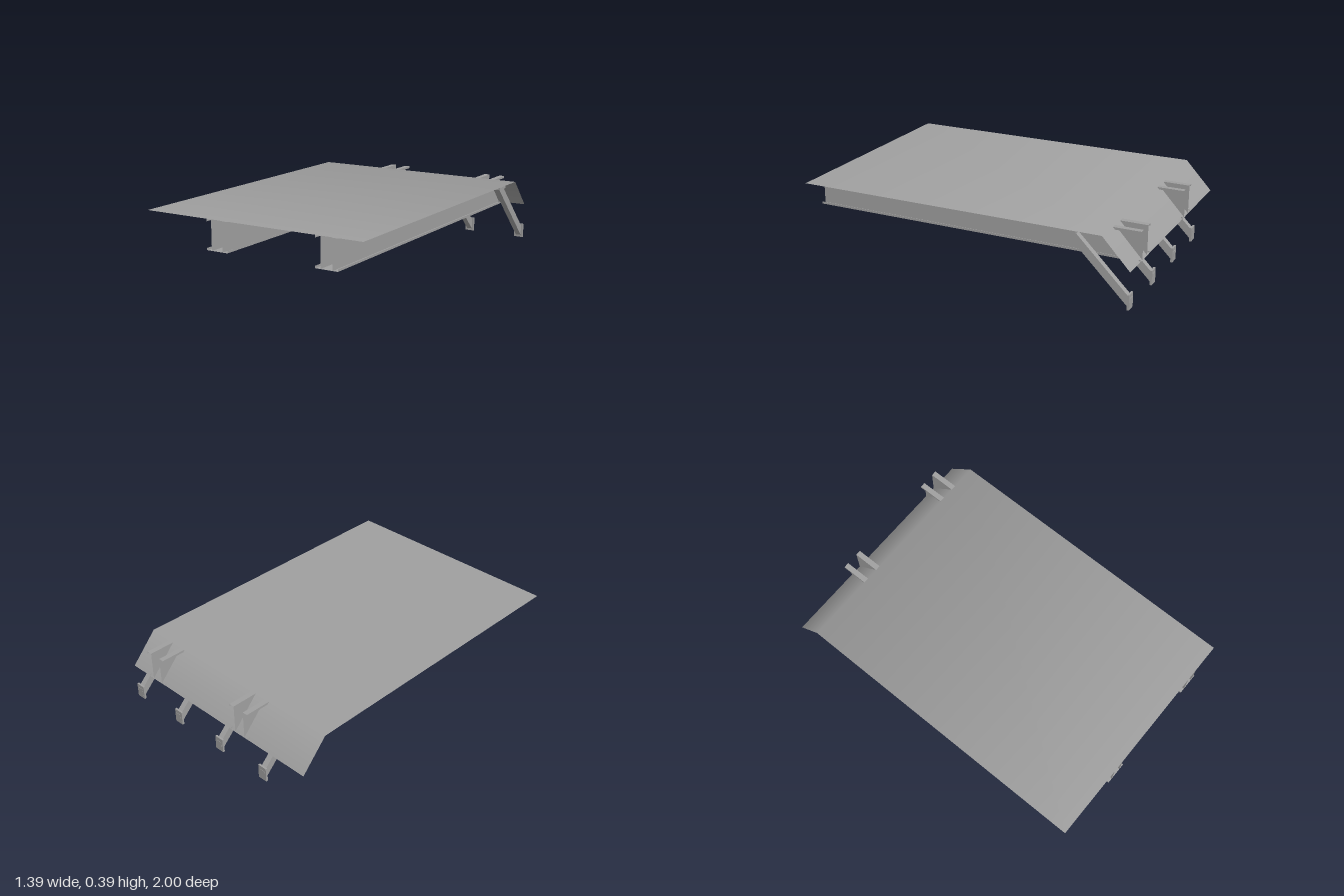
import * as THREE from 'three';

const color = 0x9f9f9f;
const flat = new THREE.MeshStandardMaterial({ color, side: THREE.DoubleSide, flatShading: true });
const smooth = new THREE.MeshStandardMaterial({ color, side: THREE.DoubleSide });

// Flat deck with its rear edge folded down, shaded smoothly across the fold
function makeDeck() {
  const half = 0.696;
  const section = [[1, 0.386], [-0.84, 0.386], [-1, 0.214]];
  // Surface normal of each strip, then the even average at each section point
  const strips = [0, 1].map((i) => {
    const [z0, y0] = section[i], [z1, y1] = section[i + 1];
    return new THREE.Vector3(0, z0 - z1, y1 - y0).normalize();
  });
  const normals = [
    strips[0], strips[0].clone().add(strips[1]).normalize(), strips[1],
  ];
  const pos = [], nor = [], index = [];
  section.forEach(([z, y], i) => {
    for (const s of [-1, 1]) {
      pos.push(s * half, y, z);
      nor.push(...normals[i].toArray());
    }
    const a = i * 2;
    if (i < 2) index.push(a, a + 1, a + 3, a, a + 3, a + 2);
  });
  const geometry = new THREE.BufferGeometry();
  geometry.setAttribute('position', new THREE.Float32BufferAttribute(pos, 3));
  geometry.setAttribute('normal', new THREE.Float32BufferAttribute(nor, 3));
  geometry.setIndex(index);
  const deck = new THREE.Mesh(geometry, smooth);
  deck.name = 'deck';
  return deck;
}

// Thin folded sheet: [x, y] section points swept along the full length
function sheet(name, points) {
  const pos = [];
  for (let i = 0; i < points.length - 1; i++) {
    const p = [...points[i], -1], q = [...points[i + 1], -1];
    const r = [...points[i + 1], 1], s = [...points[i], 1];
    pos.push(...p, ...r, ...q, ...p, ...s, ...r);
  }
  const geometry = new THREE.BufferGeometry();
  geometry.setAttribute('position', new THREE.Float32BufferAttribute(pos, 3));
  geometry.computeVertexNormals();
  const mesh = new THREE.Mesh(geometry, flat);
  mesh.name = name;
  return mesh;
}

function box(name, size, position) {
  const mesh = new THREE.Mesh(new THREE.BoxGeometry(...size), flat);
  mesh.position.set(...position);
  mesh.name = name;
  return mesh;
}

// Twin-web girder: wide bottom flange, narrow outward top flanges, small lips
function makeBeam(x) {
  const beam = new THREE.Group();
  beam.name = 'beam';
  const top = 0.384, bottom = 0.213, lip = 0.013, half = 0.068, web = 0.036;
  for (const s of [-1, 1]) {
    beam.add(sheet('webAndTopFlange', [
      [s * web, bottom], [s * web, top], [s * half, top], [s * half, top - lip],
    ]));
  }
  beam.add(sheet('bottomFlange', [
    [-half, bottom + lip], [-half, bottom], [half, bottom], [half, bottom + lip],
  ]));
  beam.position.x = x;
  return beam;
}

// Diagonal strut with a plate at each end
function makeBrace(x) {
  const brace = new THREE.Group();
  brace.name = 'brace';
  const width = 0.034;
  // Side outline, drawn with the shape's x as -z
  const side = new THREE.Shape([
    new THREE.Vector2(0.62, 0.377), new THREE.Vector2(0.988, 0.012),
    new THREE.Vector2(1, 0.012), new THREE.Vector2(1, 0.063),
    new THREE.Vector2(0.685, 0.377),
  ]);
  const geometry = new THREE.ExtrudeGeometry(side, { depth: width, bevelEnabled: false });
  geometry.rotateY(Math.PI / 2).translate(-width / 2, 0, 0);
  const strut = new THREE.Mesh(geometry, flat);
  strut.name = 'strut';
  brace.add(strut);
  brace.add(box('topPlate', [0.058, 0.014, 0.085], [0, 0.378, -0.652]));
  brace.add(box('basePlate', [0.058, 0.085, 0.012], [0, 0.0425, -0.993]));
  brace.position.x = x;
  return brace;
}

export function createModel() {
  const model = new THREE.Group();
  model.name = 'deckStructure';
  model.add(makeDeck());
  for (const x of [-0.214, 0.481]) model.add(makeBeam(x));
  for (let i = 0; i < 4; i++) model.add(makeBrace(-0.378 + i * 0.348));
  return model;
}
